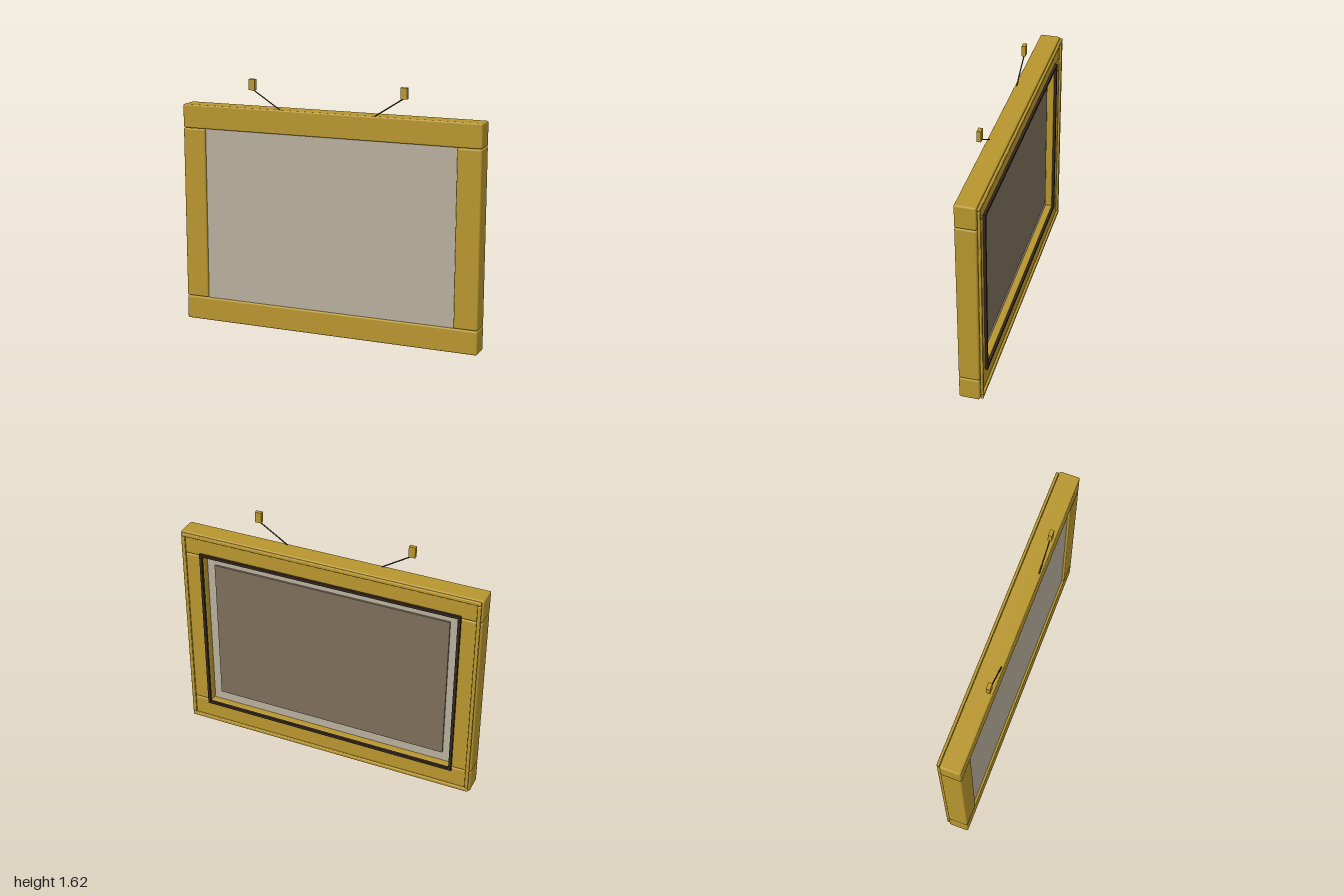
import * as THREE from 'three';
import { RoundedBoxGeometry } from 'three/addons/geometries/RoundedBoxGeometry.js';

const material = (color) => new THREE.MeshStandardMaterial({ color });

export function createModel() {
  const model = new THREE.Group();
  model.name = 'hangingPictureFrame';
  const gold = material(0xb8962e);
  const dark = material(0x33261c);
  const paper = material(0xb8ae9c);
  const backing = material(0x7d6e5a);
  const midY = 0.7175;

  const add = (name, geometry, mat, x, y, z) => {
    const mesh = new THREE.Mesh(geometry, mat);
    mesh.name = name;
    mesh.position.set(x, y, z);
    model.add(mesh);
    return mesh;
  };
  const block = (name, mat, [w, h, d], [x, y, z], r = 0) =>
    add(name, r ? new RoundedBoxGeometry(w, h, d, 2, r) : new THREE.BoxGeometry(w, h, d), mat, x, y, z);

  for (const s of [-1, 1]) {
    const side = s > 0 ? 'left' : 'right';
    const end = s > 0 ? 'top' : 'bottom';

    // Main frame: full-width rails with stiles between them
    block(end + 'Rail', gold, [2, 0.154, 0.13], [0, midY + s * 0.6405, 0.01], 0.01);
    block(side + 'Stile', gold, [0.154, 1.122, 0.13], [s * 0.923, midY, 0.01], 0.01);

    // Slim trim around the outer edge of the back
    block(end + 'BackTrim', gold, [1.98, 0.024, 0.018], [0, midY + s * 0.701, -0.066], 0.006);
    block(side + 'BackTrim', gold, [0.024, 1.37, 0.018], [s * 0.978, midY, -0.066], 0.006);

    // Dark bead around the back of the opening
    block(end + 'Bead', dark, [1.74, 0.018, 0.016], [0, midY + s * 0.574, -0.062]);
    block(side + 'Bead', dark, [0.018, 1.148, 0.016], [s * 0.861, midY, -0.062]);

    // Hanging block and its slanted wire
    block(side + 'Hanger', gold, [0.042, 0.07, 0.025], [s * 0.506, 1.585, 0.0625]);
    const wire = new THREE.LineCurve3(
      new THREE.Vector3(s * 0.506, 1.555, 0.062),
      new THREE.Vector3(s * 0.31, 1.43, 0.062));
    add(side + 'Wire', new THREE.TubeGeometry(wire, 1, 0.004, 8), dark, 0, 0, 0);
  }

  // Picture panel set in the opening, with a smaller backing board
  block('picturePanel', paper, [1.7, 1.135, 0.07], [0, midY, 0.025]);
  block('backingBoard', backing, [1.58, 0.99, 0.014], [0, midY, -0.015]);

  return model;
}
